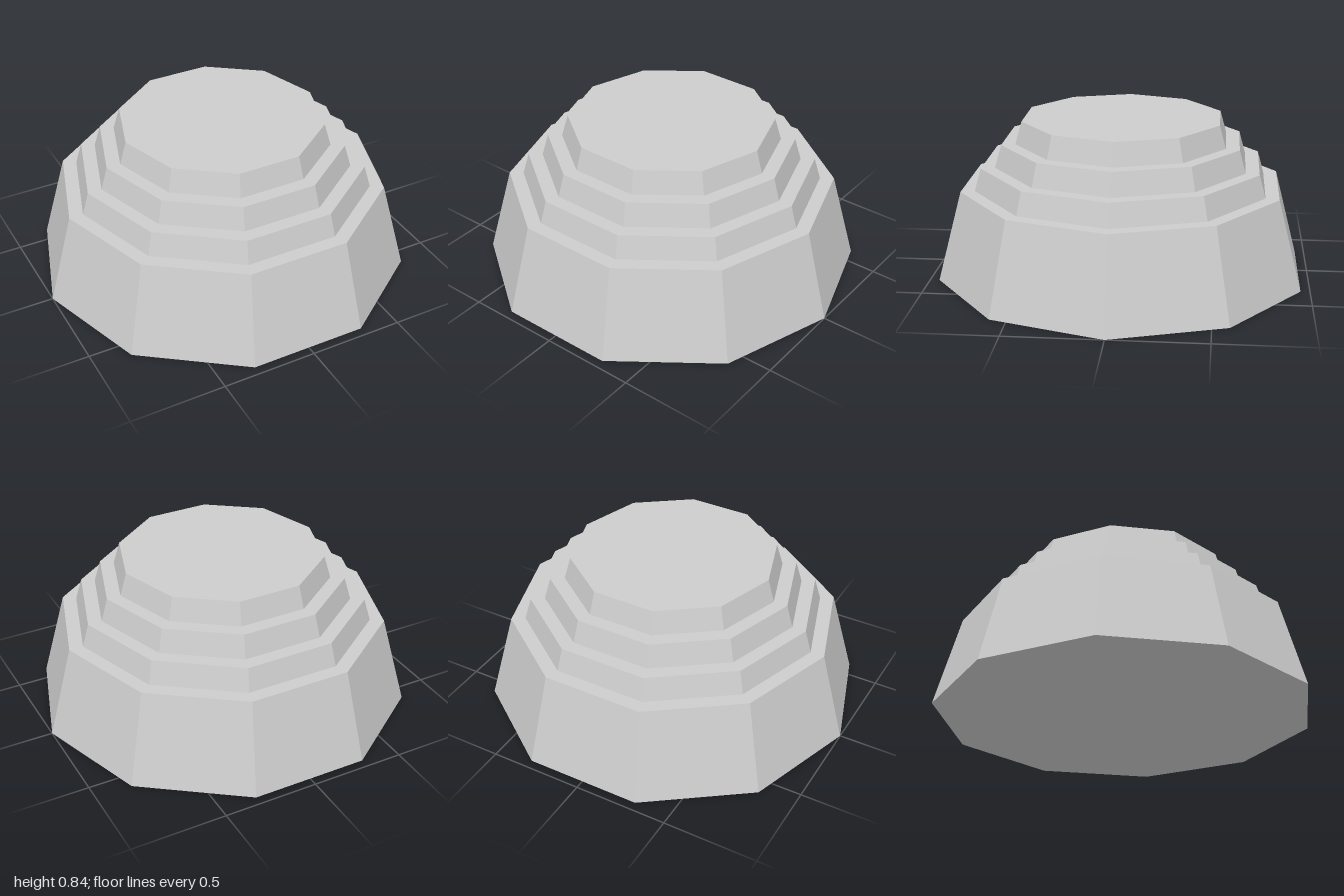
import * as THREE from 'three';

const SIDES = 10;

// Each tier: foot radius, rim radius, foot height, rim height
const TIERS = [
  { name: 'baseTier', foot: 1.0, rim: 0.87, y0: 0, y1: 0.48 },
  { name: 'lowerStep', foot: 0.795, rim: 0.76, y0: 0.48, y1: 0.6 },
  { name: 'middleStep', foot: 0.685, rim: 0.65, y0: 0.6, y1: 0.72 },
  { name: 'topStep', foot: 0.575, rim: 0.54, y0: 0.72, y1: 0.84 },
];

export function createModel() {
  const group = new THREE.Group();
  group.name = 'steppedMound';
  const stone = new THREE.MeshStandardMaterial({ color: 0xcccccc, flatShading: true });
  stone.name = 'light grey stone';

  TIERS.forEach((tier, i) => {
    // Sloping wall, then a flat ledge in to the foot of the next tier
    const next = TIERS[i + 1];
    const profile = [
      new THREE.Vector2(tier.foot, tier.y0),
      new THREE.Vector2(tier.rim, tier.y1),
    ];
    if (next) profile.push(new THREE.Vector2(next.foot, tier.y1));
    const mesh = new THREE.Mesh(new THREE.LatheGeometry(profile, SIDES, Math.PI / 2), stone);
    mesh.name = tier.name;
    group.add(mesh);
  });

  // Flat ten-sided faces closing the summit and the underside
  const addCap = (name, radius, y, tilt) => {
    const cap = new THREE.Mesh(new THREE.CircleGeometry(radius, SIDES), stone);
    cap.rotation.x = tilt;
    cap.position.y = y;
    cap.name = name;
    group.add(cap);
  };
  addCap('summit', TIERS[3].rim, TIERS[3].y1, -Math.PI / 2);
  addCap('underside', TIERS[0].foot, 0, Math.PI / 2);

  return group;
}
